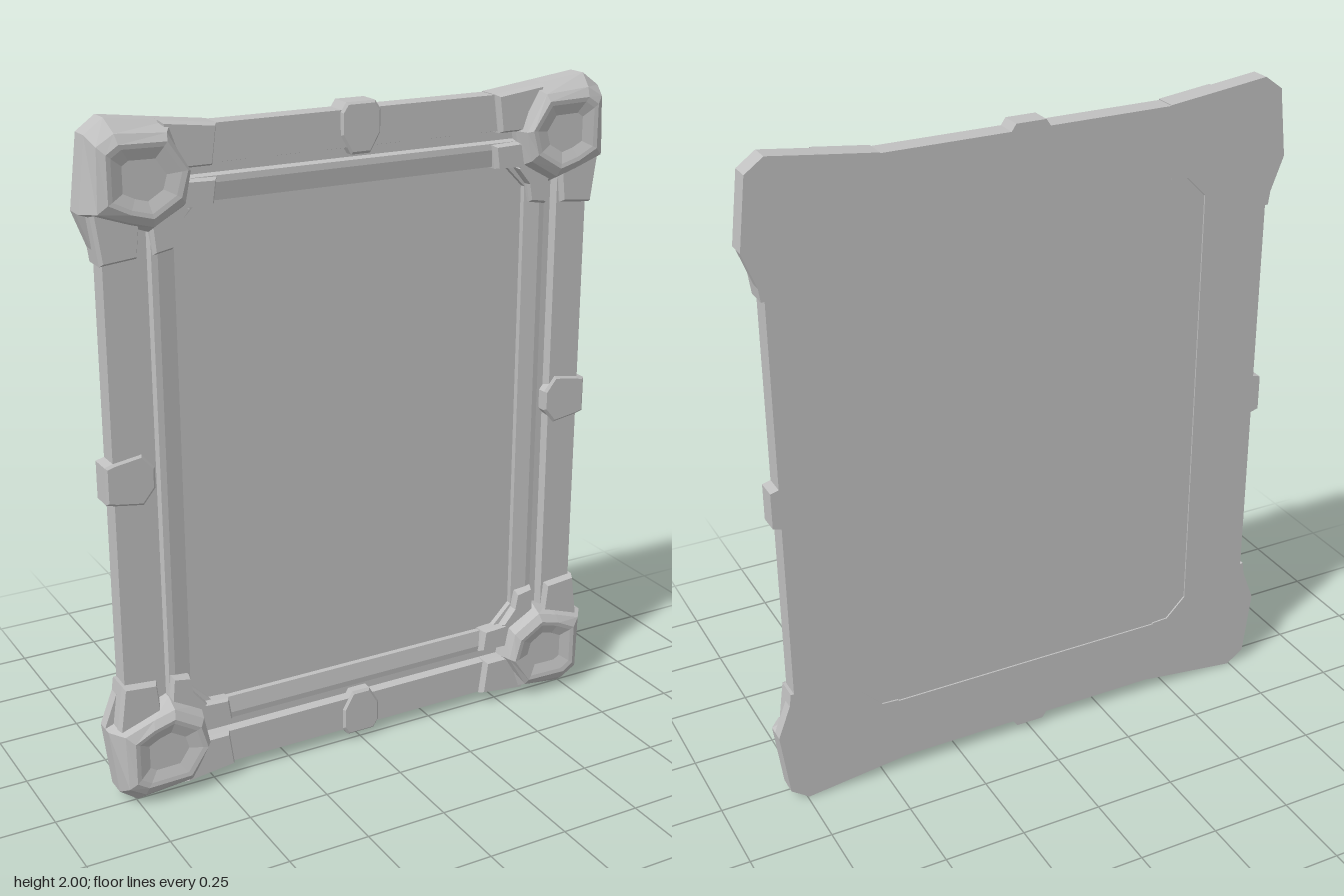
import * as THREE from 'three';

const stone = new THREE.MeshStandardMaterial({ color: 0xc0c0c0 });
stone.name = 'plain grey';

// Faceted loft through rings of [x, y, z] running from back to front
function loft(rings, closed = false) {
  const pos = [];
  const tri = (a, b, c) => pos.push(...a, ...b, ...c);
  const n = rings[0].length;
  const count = closed ? rings.length : rings.length - 1;
  for (let k = 0; k < count; k++) {
    const r = rings[k], s = rings[(k + 1) % rings.length];
    for (let i = 0; i < n; i++) {
      const j = (i + 1) % n;
      tri(r[i], r[j], s[j]);
      tri(r[i], s[j], s[i]);
    }
  }
  if (!closed) {
    const mid = (r) => [0, 1, 2].map((a) => r.reduce((t, p) => t + p[a], 0) / n);
    const back = rings[0], front = rings[rings.length - 1];
    const mb = mid(back), mf = mid(front);
    for (let i = 0; i < n; i++) {
      const j = (i + 1) % n;
      tri(mb, back[j], back[i]);
      tri(mf, front[i], front[j]);
    }
  }
  const g = new THREE.BufferGeometry();
  g.setAttribute('position', new THREE.Float32BufferAttribute(pos, 3));
  g.computeVertexNormals();
  return g;
}

const at = (pts, z) => pts.map(([x, y]) => [x, y, z]);

// Mirror a ring into another quadrant, keeping it counter-clockwise
function mirror(ring, sx, sy) {
  const r = ring.map(([x, y, z]) => [x * sx, y * sy, z]);
  return sx * sy < 0 ? r.reverse() : r;
}

// Shrink an outline towards its middle by a fixed factor
function shrink(pts, f) {
  const cx = pts.reduce((t, p) => t + p[0], 0) / pts.length;
  const cy = pts.reduce((t, p) => t + p[1], 0) / pts.length;
  return pts.map(([x, y]) => [cx + (x - cx) * f, cy + (y - cy) * f]);
}

// Rectangle with cut corners, counter-clockwise
const octagon = (w, h, c) => [
  [w, -h + c], [w, h - c], [w - c, h], [-w + c, h],
  [-w, h - c], [-w, -h + c], [-w + c, -h], [w - c, -h],
];

// Bevelled block standing on the back plane
const block = (pts, zEdge, zTop, f) => [
  at(pts, -0.06), at(pts, zEdge), at(shrink(pts, f), zTop),
];

export function createModel() {
  const model = new THREE.Group();
  model.name = 'ornateFrame';
  const body = new THREE.Group();
  body.name = 'frameBody';
  body.position.y = 1;
  model.add(body);
  const add = (name, geometry, parent = body) => {
    const m = new THREE.Mesh(geometry, stone);
    m.name = name;
    parent.add(m);
  };

  // Moulded rails: outer rail, groove, inner rail, opening [inset, z]
  const profile = [
    [0, -0.06], [0, 0.004], [0.104, 0.004], [0.11, -0.022], [0.136, -0.022],
    [0.142, -0.006], [0.16, -0.004], [0.21, -0.012], [0.21, -0.06],
  ];
  add('rails', loft(profile.map(([d, z]) => at(octagon(0.77 - d, 0.96 - d, 0.07), z)), true));

  // Flat panel behind the opening
  const panel = octagon(0.565, 0.755, 0.07);
  add('panel', loft([at(panel, -0.055), at(panel, -0.03)]));

  // Clasps in the middle of each side
  const topClasp = [
    [0.062, 0.89], [0.062, 0.955], [0.045, 0.98], [-0.045, 0.98],
    [-0.062, 0.955], [-0.062, 0.89], [-0.03, 0.835], [0.03, 0.835],
  ];
  const sideClasp = [
    [0.795, -0.055], [0.795, 0.055], [0.77, 0.062], [0.685, 0.075],
    [0.648, 0.03], [0.648, -0.03], [0.685, -0.075], [0.77, -0.062],
  ];
  for (const s of [1, -1]) {
    const top = block(topClasp, 0.004, 0.011, 0.9);
    const side = block(sideClasp, 0.004, 0.011, 0.9);
    add(s > 0 ? 'topClasp' : 'bottomClasp', loft(top.map((r) => mirror(r, 1, s))));
    add(s > 0 ? 'leftClasp' : 'rightClasp', loft(side.map((r) => mirror(r, s, 1))));
  }

  // Corner boss outlines: foot, shoulder, rim, dish edge, dish floor
  const foot = [
    [0.825, 0.757], [0.80, 0.96], [0.745, 1.0], [0.56, 0.977],
    [0.515, 0.85], [0.535, 0.745], [0.635, 0.69], [0.69, 0.71],
  ];
  const shoulder = [
    [0.79, 0.762], [0.785, 0.935], [0.735, 0.965], [0.59, 0.955],
    [0.527, 0.85], [0.545, 0.765], [0.635, 0.712], [0.70, 0.73],
  ];
  const rim = [
    [0.765, 0.785], [0.765, 0.915], [0.73, 0.938], [0.595, 0.935],
    [0.54, 0.855], [0.56, 0.785], [0.64, 0.737], [0.705, 0.755],
  ];
  const dish = shrink(rim, 0.87);
  const floor = shrink(rim, 0.55);
  const boss = [
    at(foot, -0.06), at(foot, 0.0), at(shoulder, 0.044),
    at(rim, 0.058), at(dish, 0.056), at(floor, 0.045),
  ];

  // Arms reaching from the boss along the rails
  const arms = {
    outerTopArm: block([[0.45, 0.85], [0.58, 0.85], [0.60, 0.982], [0.435, 0.962]], 0.008, 0.024, 0.88),
    outerSideArm: block([[0.675, 0.625], [0.78, 0.615], [0.803, 0.78], [0.66, 0.76]], 0.008, 0.024, 0.88),
    innerTopArm: block([[0.445, 0.746], [0.52, 0.742], [0.60, 0.72], [0.60, 0.82], [0.435, 0.815]], 0.0, 0.015, 0.88),
    innerSideArm: block([[0.57, 0.635], [0.625, 0.625], [0.64, 0.78], [0.57, 0.78], [0.515, 0.744], [0.56, 0.69]], 0.0, 0.015, 0.88),
  };

  for (const sx of [1, -1]) {
    for (const sy of [1, -1]) {
      const corner = new THREE.Group();
      corner.name = (sy > 0 ? 'top' : 'bottom') + (sx > 0 ? 'Left' : 'Right') + 'Corner';
      body.add(corner);
      add('boss', loft(boss.map((r) => mirror(r, sx, sy))), corner);
      for (const [name, rings] of Object.entries(arms)) {
        add(name, loft(rings.map((r) => mirror(r, sx, sy))), corner);
      }
      // Flared backing that joins both outer arms to the boss
      const flare = [[0.435, 0.96], [0.56, 0.85], [0.665, 0.74], [0.77, 0.615], [0.825, 0.757], [0.80, 0.96], [0.745, 1.0]];
      const backing = [at(flare, -0.06), at(flare, -0.025)];
      add('backing', loft(backing.map((r) => mirror(r, sx, sy))), corner);
    }
  }
  return model;
}
